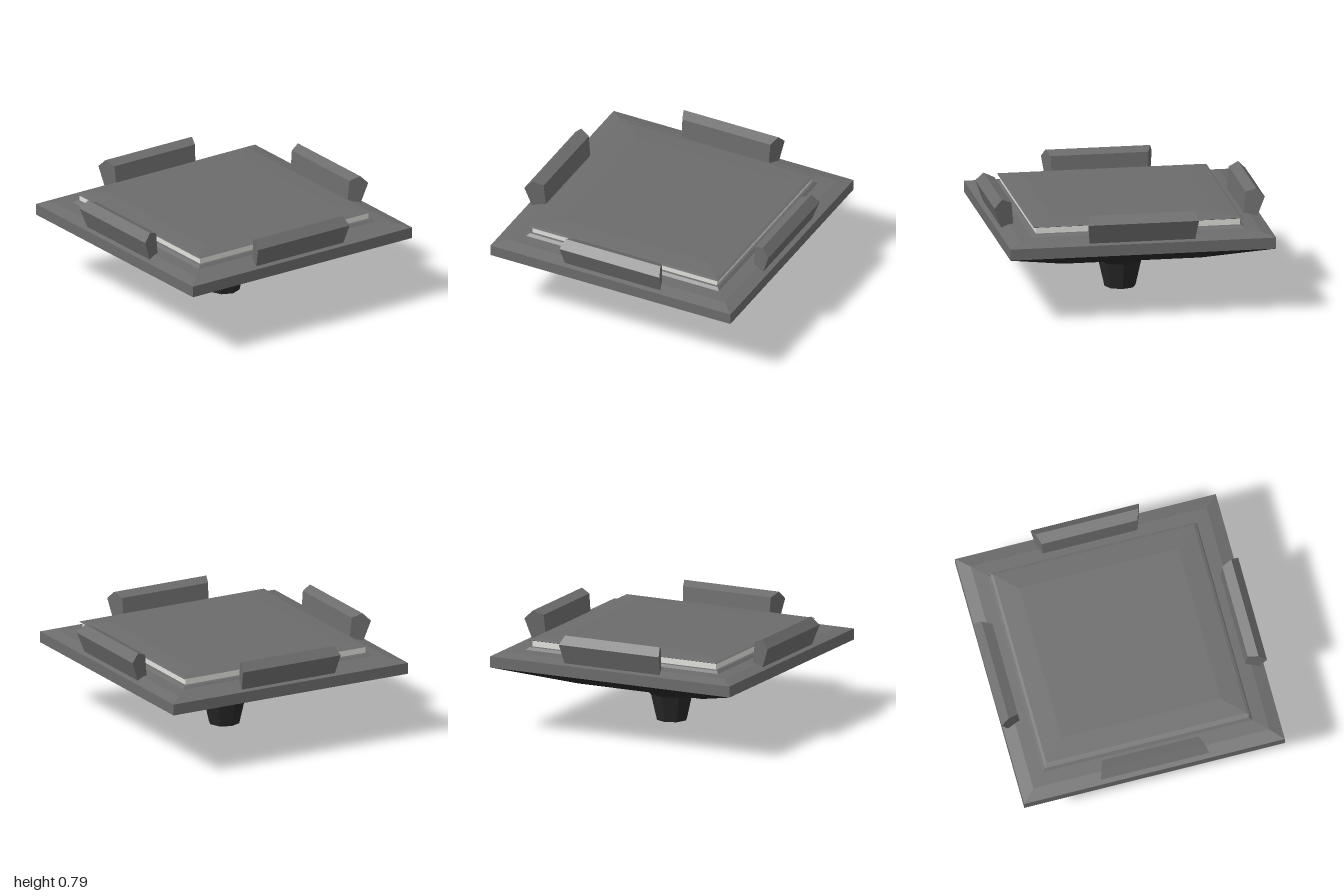
import * as THREE from 'three';

const grey = new THREE.MeshStandardMaterial({ color: 0x6c6c6c });
grey.name = 'midGrey';
const dark = new THREE.MeshStandardMaterial({ color: 0x272727 });
dark.name = 'nearBlack';
const pale = new THREE.MeshStandardMaterial({ color: 0xe2e3dd });
pale.name = 'paleGrey';

// Faceted solid from a [half width, height] profile, bottom to top
function faceted(name, profile, sides, material) {
  const square = sides === 4;
  const k = square ? Math.SQRT2 : 1;
  const points = profile.map(([r, y]) => new THREE.Vector2(r * k, y));
  const geometry = new THREE.LatheGeometry(points, sides, square ? Math.PI / 4 : 0).toNonIndexed();
  geometry.computeVertexNormals();
  const mesh = new THREE.Mesh(geometry, material);
  mesh.name = name;
  return mesh;
}

// Clamp with a five-sided section whose ends taper towards the middle of the panel
function clampGeometry() {
  const section = [[0.85, 0.58], [0.945, 0.575], [1, 0.73], [0.942, 0.79], [0.867, 0.76]];
  const shape = new THREE.Shape(section.map(([x, y]) => new THREE.Vector2(x, y)));
  const geometry = new THREE.ExtrudeGeometry(shape, { depth: 2, bevelEnabled: false });
  geometry.translate(0, 0, -1);
  const p = geometry.attributes.position;
  for (let i = 0; i < p.count; i++) {
    const halfLength = 0.41 - (1 - p.getX(i)) * 0.37;
    p.setZ(i, p.getZ(i) * halfLength);
  }
  geometry.computeVertexNormals();
  return geometry;
}

export function createModel() {
  const model = new THREE.Group();
  model.name = 'squarePanelOnStem';

  // Stem and its foot
  model.add(faceted('stem', [[0.115, 0], [0.16, 0.195], [0.255, 0.295], [0.255, 0.325]], 8, dark));
  model.add(faceted('stemFoot', [[0, 0], [0.115, 0]], 8, grey));

  // Sloping underside and the slab above it
  model.add(faceted('underside', [[0, 0.32], [0.51, 0.32], [0.983, 0.49]], 4, dark));
  model.add(faceted('slab', [
    [0.983, 0.49], [0.983, 0.573], [0.89, 0.597], [0.79, 0.602], [0.77, 0.62], [0.75, 0.625],
  ], 4, grey));

  // Pale band below the overhanging cover
  model.add(faceted('lightBand', [[0.755, 0.622], [0.755, 0.667]], 4, pale));
  model.add(faceted('cover', [
    [0.75, 0.665], [0.775, 0.674], [0.755, 0.68], [0.6, 0.69], [0, 0.69],
  ], 4, grey));

  // One clamp on each side
  const geometry = clampGeometry();
  ['leftClamp', 'backClamp', 'rightClamp', 'frontClamp'].forEach((name, i) => {
    const clamp = new THREE.Mesh(geometry, grey);
    clamp.name = name;
    clamp.rotation.y = i * Math.PI / 2;
    model.add(clamp);
  });

  return model;
}
